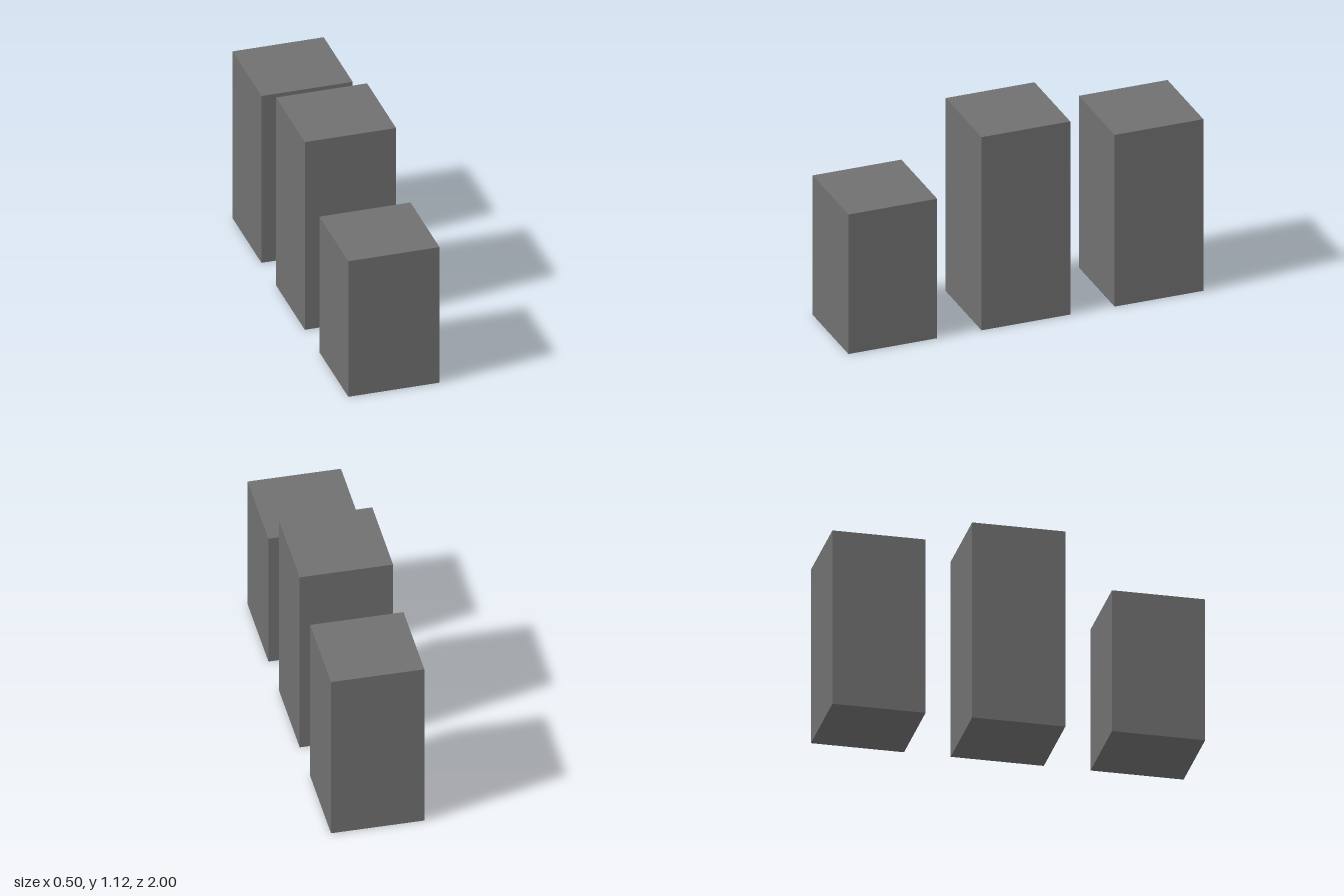
import * as THREE from 'three';

export function createModel() {
  const model = new THREE.Group();
  model.name = 'threeBlocks';
  const material = new THREE.MeshStandardMaterial({ color: 0x707070, flatShading: true });

  const size = 0.5; // square footprint shared by all blocks

  // Row of three upright blocks, from front to back
  const blocks = [
    { name: 'frontBlock', height: 0.8125, z: 0.75 },
    { name: 'middleBlock', height: 1.125, z: 0 },
    { name: 'backBlock', height: 1, z: -0.75 },
  ];
  for (const { name, height, z } of blocks) {
    const block = new THREE.Mesh(new THREE.BoxGeometry(size, height, size), material);
    block.name = name;
    block.position.set(0, height / 2, z);
    model.add(block);
  }
  return model;
}
